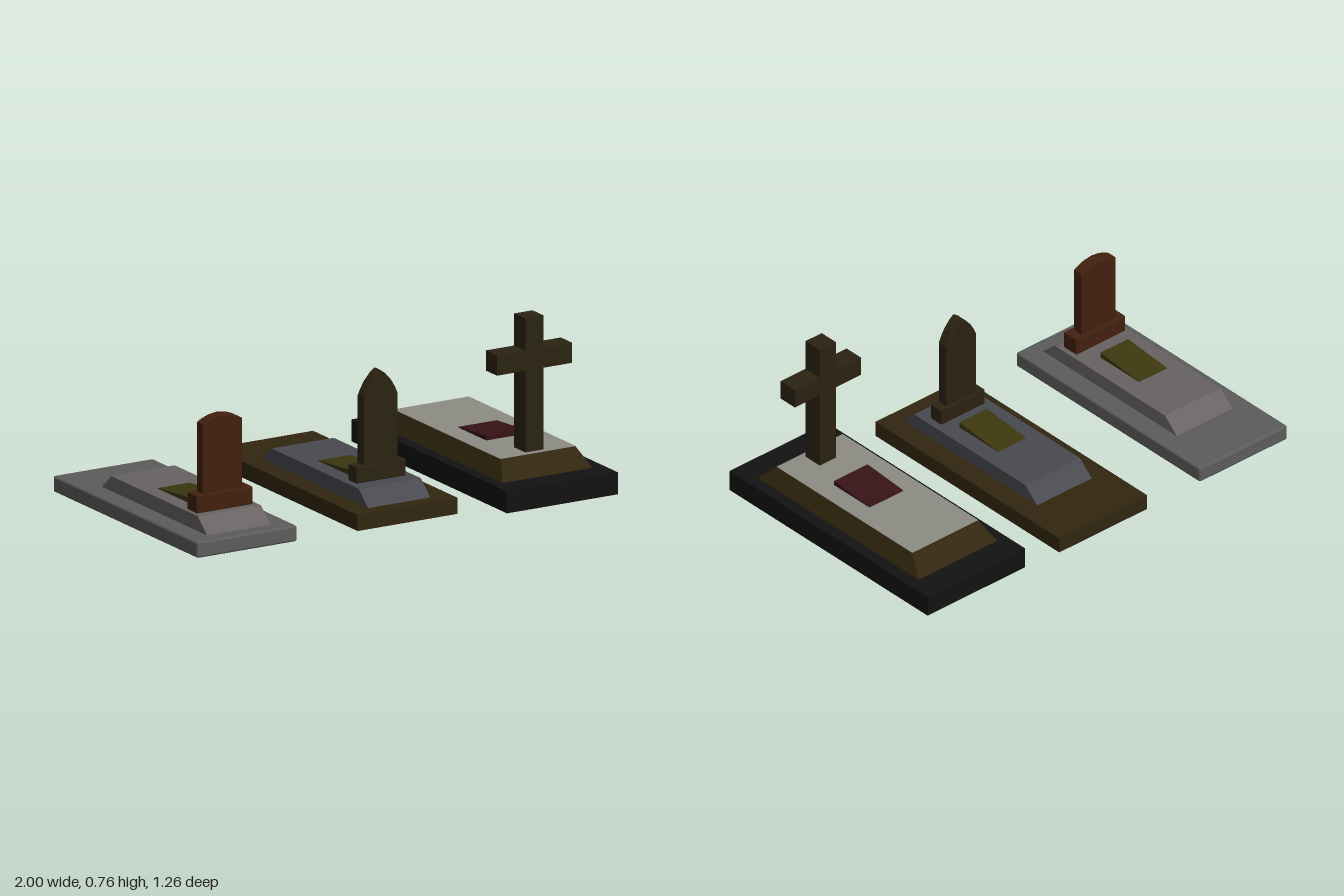
import * as THREE from 'three';
import { RoundedBoxGeometry } from 'three/addons/geometries/RoundedBoxGeometry.js';

const mat = (color) => new THREE.MeshStandardMaterial({ color });
const granite = mat(0x5c5c5c), paleStone = mat(0x686262), redStone = mat(0x43200f);
const brownStone = mat(0x31260f), blueStone = mat(0x484a50), darkStone = mat(0x2b2312);
const blackStone = mat(0x121212), lightStone = mat(0x8c8c84);
const ochre = mat(0x3d3710), maroon = mat(0x371317);

function add(group, name, geometry, material) {
  const mesh = new THREE.Mesh(geometry, material);
  mesh.name = name;
  group.add(mesh);
  return mesh;
}

// Box between two corners; its top edge can be drawn in by insetX and insetZ
function block([x0, x1], [y0, y1], [z0, z1], insetX = 0, insetZ = 0) {
  const g = new THREE.BoxGeometry(x1 - x0, y1 - y0, z1 - z0);
  const p = g.attributes.position;
  for (let i = 0; i < p.count; i++) {
    if (p.getY(i) > 0) {
      p.setX(i, p.getX(i) - Math.sign(p.getX(i)) * insetX);
      p.setZ(i, p.getZ(i) - Math.sign(p.getZ(i)) * insetZ);
    }
  }
  g.computeVertexNormals();
  return g.translate((x0 + x1) / 2, (y0 + y1) / 2, (z0 + z1) / 2);
}

// Box with softened edges
function softBlock([x0, x1], [y0, y1], [z0, z1], r) {
  return new RoundedBoxGeometry(x1 - x0, y1 - y0, z1 - z0, 2, r)
    .translate((x0 + x1) / 2, (y0 + y1) / 2, (z0 + z1) / 2);
}

// Plaque that rises towards the front
function wedge([x0, x1], y, [z0, z1], rise) {
  const g = block([x0, x1], [y, y + rise], [z0, z1]);
  const p = g.attributes.position;
  for (let i = 0; i < p.count; i++) {
    if (p.getZ(i) < (z0 + z1) / 2 && p.getY(i) > y + rise / 2) p.setY(i, y + 0.003);
  }
  g.computeVertexNormals();
  return g;
}

// Upright stone: half profile from the shoulder to the crown, mirrored
function upright(cx, y0, [z0, z1], half) {
  const b = 0.004;
  const w = half[0][0];
  const right = [[w, y0], ...half].map(([x, y]) => new THREE.Vector2(x, y));
  const left = right.filter((v) => v.x > 0).reverse().map((v) => new THREE.Vector2(-v.x, v.y));
  const g = new THREE.ExtrudeGeometry(new THREE.Shape([...right, ...left]), {
    depth: z1 - z0 - 2 * b, bevelThickness: b, bevelSize: b, bevelOffset: -b, bevelSegments: 1,
  });
  return g.translate(cx, 0, z0 + b);
}

export function createModel() {
  const root = new THREE.Group();
  root.name = 'graves';

  // Grave with a rounded headstone
  const rounded = new THREE.Group();
  rounded.name = 'roundedHeadstoneGrave';
  add(rounded, 'base', softBlock([-1, -0.51], [0, 0.07], [-0.632, 0.53], 0.01), granite);
  add(rounded, 'slab', block([-0.91, -0.6], [0.07, 0.135], [-0.385, 0.46], 0, 0.075), paleStone);
  add(rounded, 'plaque', wedge([-0.84, -0.685], 0.135, [-0.05, 0.195], 0.024), ochre);
  add(rounded, 'plinth', softBlock([-0.895, -0.62], [0.135, 0.213], [0.273, 0.354], 0.006), redStone);
  add(rounded, 'headstone', upright(-0.76, 0.2, [0.288, 0.34],
    [[0.096, 0.515], [0.075, 0.527], [0.04, 0.54], [0, 0.545]]), redStone);

  // Grave with a pointed headstone
  const pointed = new THREE.Group();
  pointed.name = 'pointedHeadstoneGrave';
  add(pointed, 'base', block([-0.215, 0.275], [0, 0.07], [-0.632, 0.53]), brownStone);
  add(pointed, 'slab', block([-0.125, 0.18], [0.07, 0.135], [-0.385, 0.466], 0, 0.075), blueStone);
  add(pointed, 'plaque', wedge([-0.053, 0.102], 0.135, [-0.05, 0.195], 0.024), ochre);
  add(pointed, 'plinth', softBlock([-0.095, 0.148], [0.135, 0.208], [0.256, 0.324], 0.005), darkStone);
  add(pointed, 'headstone', upright(0.027, 0.2, [0.266, 0.32],
    [[0.083, 0.503], [0.071, 0.53], [0.052, 0.562], [0.024, 0.594], [0, 0.612]]), darkStone);

  // Grave with a cross
  const crossGrave = new THREE.Group();
  crossGrave.name = 'crossGrave';
  add(crossGrave, 'base', block([0.455, 1], [0, 0.095], [-0.62, 0.632]), blackStone);
  add(crossGrave, 'slopedKerb', block([0.505, 0.945], [0.095, 0.174], [-0.5, 0.515], 0.036, 0.076), brownStone);
  add(crossGrave, 'topPanel', block([0.541, 0.909], [0.17, 0.176], [-0.42, 0.436]), lightStone);
  add(crossGrave, 'plaque', wedge([0.632, 0.82], 0.176, [-0.05, 0.175], 0.02), maroon);

  // Cross drawn as a single outline
  const [a, arm, low, high] = [0.045, 0.184, 0.532, 0.62];
  const outline = [[a, 0.174], [a, low], [arm, low], [arm, high], [a, high], [a, 0.76]];
  const points = [...outline, ...outline.map(([x, y]) => [-x, y]).reverse()];
  const crossShape = new THREE.Shape(points.map(([x, y]) => new THREE.Vector2(x, y)));
  const cross = new THREE.ExtrudeGeometry(crossShape, { depth: 0.09, bevelEnabled: false });
  add(crossGrave, 'cross', cross.translate(0.724, 0, 0.322), darkStone);

  root.add(rounded, pointed, crossGrave);
  return root;
}
